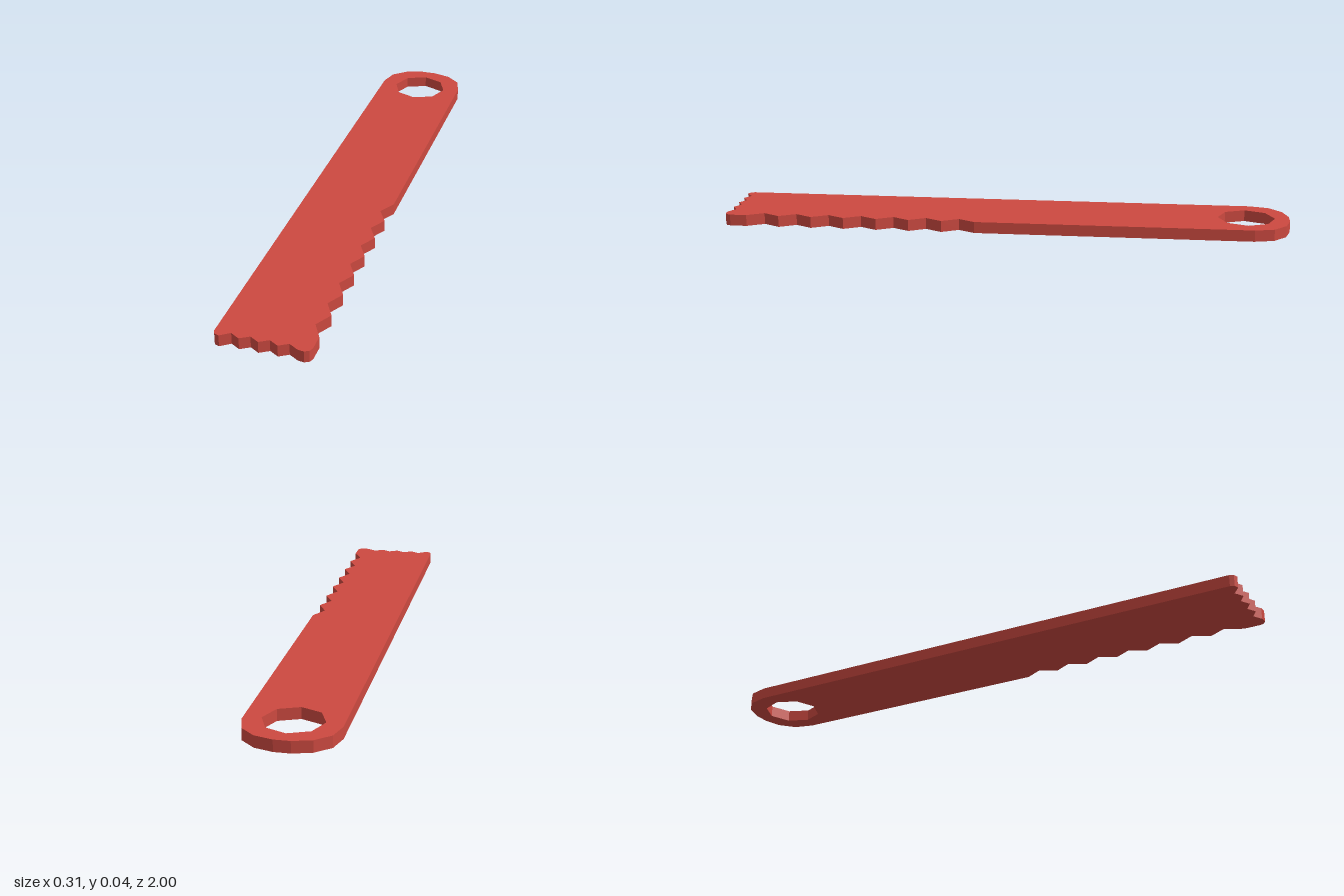
import * as THREE from 'three';

const HALF_WIDTH = 0.157;
const THICKNESS = 0.04;

// Outline in plan as [x, z], walked from the rounded end down the toothed edge
function bladeOutline() {
  const roundRight = [[0.027, -1], [0.09, -0.982], [0.139, -0.938], [HALF_WIDTH, -0.87]];
  const points = [...roundRight];

  // Saw teeth along the left edge: peaks with a notch between each pair
  const pitch = 0.117;
  for (let i = 0; i < 8; i++) {
    const z = 0.1 + i * pitch;
    points.push([HALF_WIDTH, z]);
    if (i < 7) points.push([0.125, z + pitch / 2]);
  }

  // Clipped corner, small teeth across the front end, clipped corner
  points.push([HALF_WIDTH, 0.978], [0.151, 0.992], [0.136, 1], [0.115, 0.997]);
  for (let i = 0; i < 7; i++) {
    points.push([0.083 - i * 0.031, i % 2 ? 0.996 : 0.977]);
  }
  points.push([-0.135, 1], [-0.151, 0.994], [-HALF_WIDTH, 0.98]);

  // Straight back edge, then the mirrored half of the rounded end
  for (const [x, z] of [...roundRight].reverse()) points.push([-x, z]);
  return points;
}

export function createModel() {
  const group = new THREE.Group();
  group.name = 'sawBlade';

  // Shape y is -z, so the extrusion can be laid flat with its thickness upward
  const toPlan = ([x, z]) => new THREE.Vector2(x, -z);
  const shape = new THREE.Shape(bladeOutline().map(toPlan));

  // Eight-sided hanging hole
  const hole = [];
  for (let i = 0; i < 8; i++) {
    const a = (i / 8) * Math.PI * 2;
    hole.push(toPlan([0.1 * Math.sin(a), -0.85 + 0.1 * Math.cos(a)]));
  }
  shape.holes.push(new THREE.Path(hole));

  const geometry = new THREE.ExtrudeGeometry(shape, { depth: THICKNESS, bevelEnabled: false });
  geometry.rotateX(-Math.PI / 2);

  const material = new THREE.MeshStandardMaterial({ color: 0xcc4940, flatShading: true });
  const blade = new THREE.Mesh(geometry, material);
  blade.name = 'toothedBlade';
  group.add(blade);
  return group;
}
